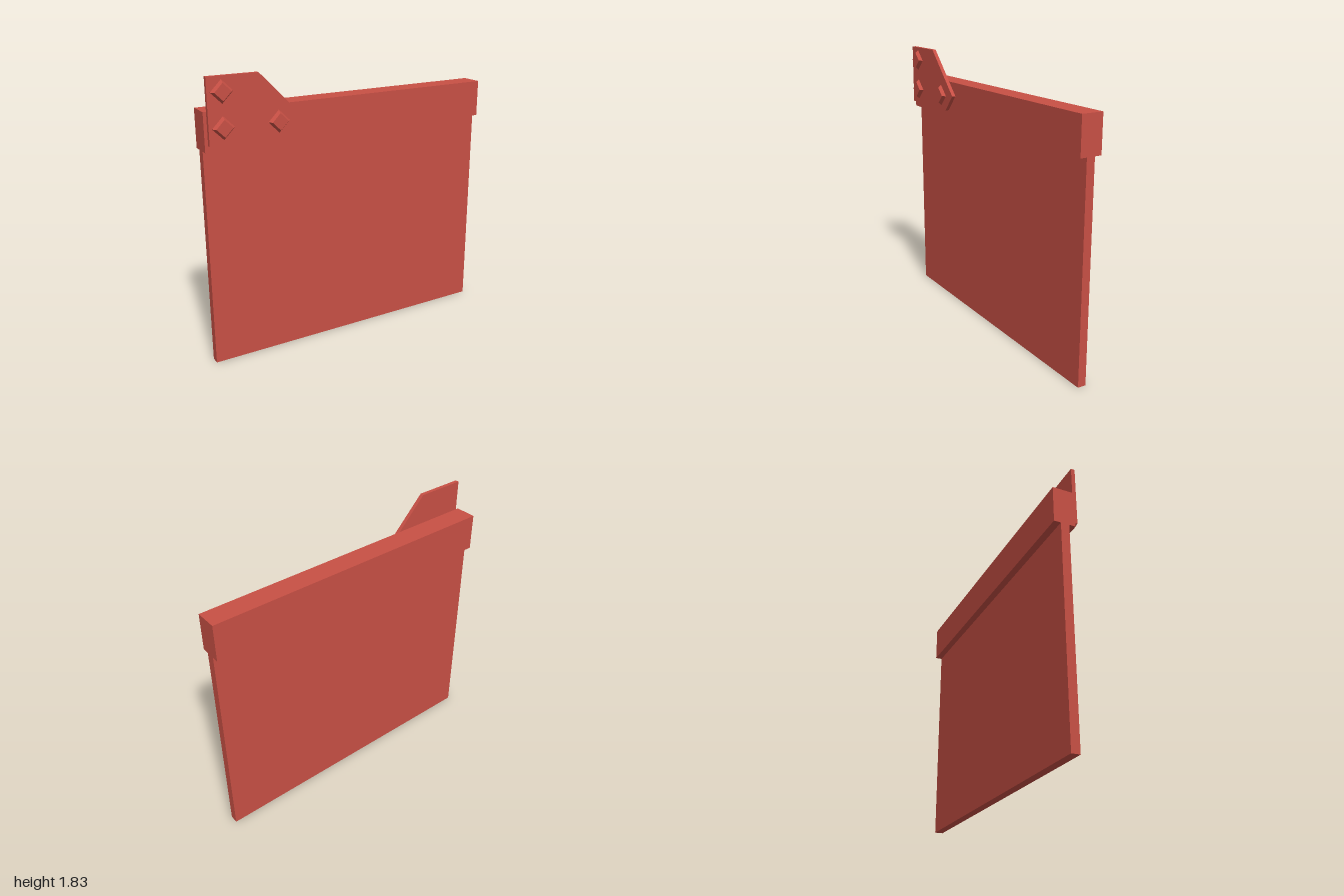
import * as THREE from 'three';

export function createModel() {
  const model = new THREE.Group();
  const red = new THREE.MeshStandardMaterial({ color: 0xc85045, flatShading: true });
  red.name = 'brick red';

  const add = (name, geometry, x, y, z) => {
    const mesh = new THREE.Mesh(geometry, red);
    mesh.name = name;
    mesh.position.set(x, y, z);
    model.add(mesh);
  };

  // Thin wall panel with a thicker beam along its top
  add('panel', new THREE.BoxGeometry(2, 1.39, 0.055), 0, 0.695, -0.0225);
  add('topBeam', new THREE.BoxGeometry(2, 0.24, 0.143), 0, 1.51, -0.0235);

  // Angled corner plate on the front of the beam
  const outline = [[-0.98, 1.43], [-0.48, 1.43], [-0.38, 1.54], [-0.66, 1.83], [-0.98, 1.83]];
  const shape = new THREE.Shape(outline.map(([x, y]) => new THREE.Vector2(x, y)));
  add('cornerPlate', new THREE.ExtrudeGeometry(shape, { depth: 0.025, bevelEnabled: false }), 0, 0, 0.048);

  // Four-sided tapered bolt heads
  const bolt = new THREE.CylinderGeometry(0.052, 0.07, 0.022, 4).rotateX(Math.PI / 2);
  for (const [x, y] of [[-0.89, 1.74], [-0.89, 1.53], [-0.54, 1.53]]) {
    add('boltHead', bolt, x, y, 0.084);
  }
  return model;
}
